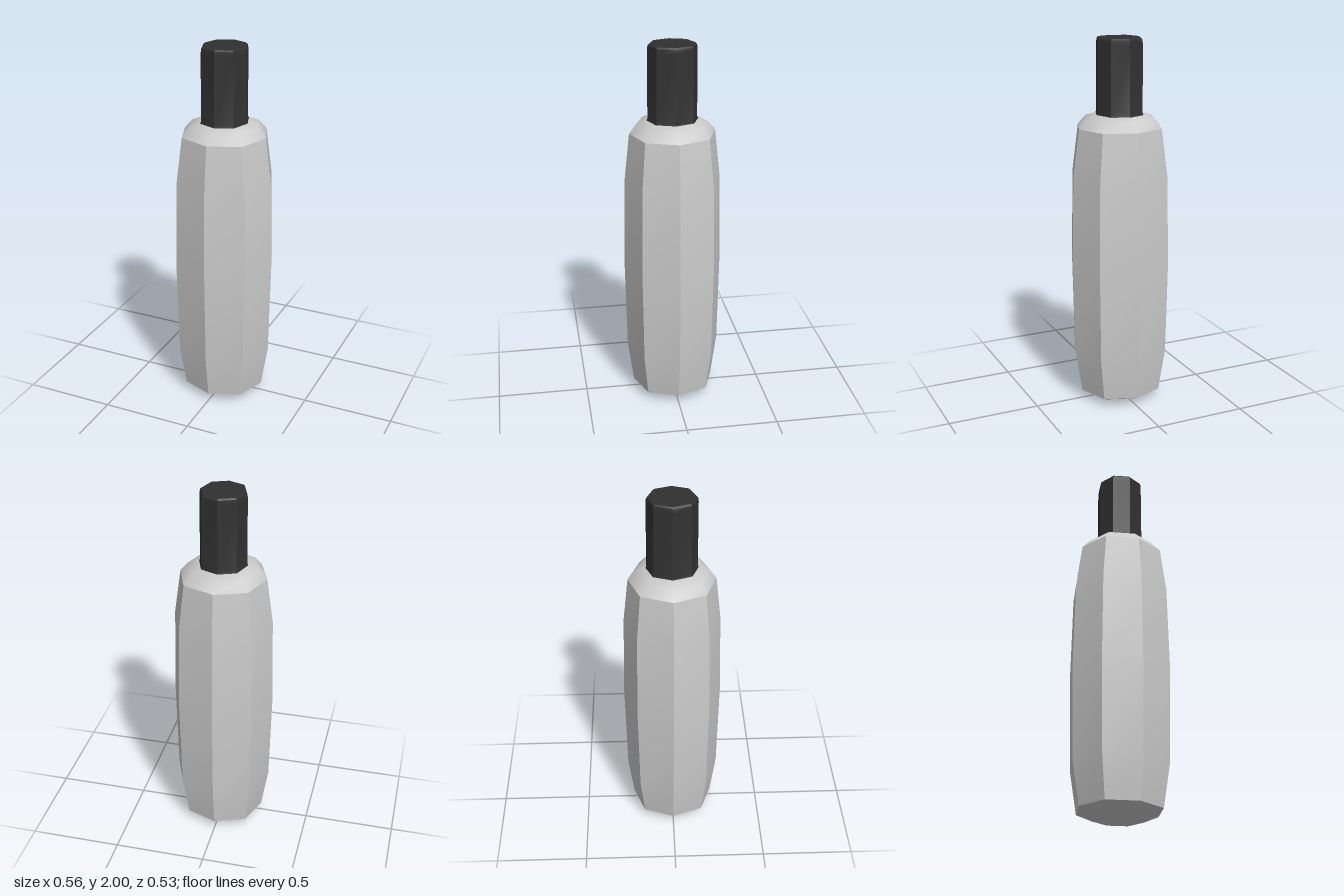
import * as THREE from 'three';
import { toCreasedNormals } from 'three/addons/utils/BufferGeometryUtils.js';

const SIDES = 8;

// Octagonal loft through rings of [y, x radius, z radius], listed upwards
function loft(rings) {
  const pos = [], index = [];
  rings.forEach(([y, rx, rz]) => {
    for (let i = 0; i < SIDES; i++) {
      const a = (i / SIDES) * Math.PI * 2;
      const k = i % 2 ? 1.03 : 1; // diagonal corners sit slightly further out
      pos.push(Math.cos(a) * rx * k, y, Math.sin(a) * rz * k);
    }
  });
  for (let r = 0; r < rings.length - 1; r++) {
    for (let i = 0; i < SIDES; i++) {
      const a = r * SIDES + i, b = r * SIDES + ((i + 1) % SIDES);
      const c = a + SIDES, d = b + SIDES;
      if (rings[r][1] > 0) index.push(a, c, b);
      if (rings[r + 1][1] > 0) index.push(c, d, b);
    }
  }
  const geo = new THREE.BufferGeometry();
  geo.setAttribute('position', new THREE.Float32BufferAttribute(pos, 3));
  geo.setIndex(index);
  geo.computeVertexNormals();
  return geo;
}

export function createModel() {
  const group = new THREE.Group();
  const grey = new THREE.MeshStandardMaterial({ color: 0xcccccc });
  const black = new THREE.MeshStandardMaterial({ color: 0x303030 });
  const add = (name, geo, mat) => {
    const mesh = new THREE.Mesh(geo, mat);
    mesh.name = name;
    group.add(mesh);
  };
  const crease = THREE.MathUtils.degToRad(30);

  // Bulging body: sharp vertical edges, smooth along its height
  add('body', toCreasedNormals(loft([
    [0.045, 0.228, 0.225],
    [0.28, 0.267, 0.257],
    [0.8, 0.278, 0.267],
    [1.28, 0.267, 0.257],
    [1.53, 0.232, 0.23],
  ]), crease), grey);

  // Smoothly shaded rounded shoulder
  add('shoulder', loft([
    [1.53, 0.232, 0.23],
    [1.58, 0.188, 0.188],
    [1.598, 0.13, 0.135],
    [1.6, 0.09, 0.09],
  ]), grey);

  // Smoothly shaded base
  add('base', loft([
    [0, 0, 0],
    [0.006, 0.143, 0.143],
    [0.045, 0.228, 0.225],
  ]), grey);

  // Faceted cap with a narrow bevel at the top
  add('cap', toCreasedNormals(loft([
    [1.592, 0, 0],
    [1.592, 0.132, 0.139],
    [1.61, 0.125, 0.132],
    [1.97, 0.124, 0.131],
    [1.992, 0.12, 0.128],
    [2, 0.113, 0.12],
    [2, 0, 0],
  ]), crease), black);

  return group;
}
